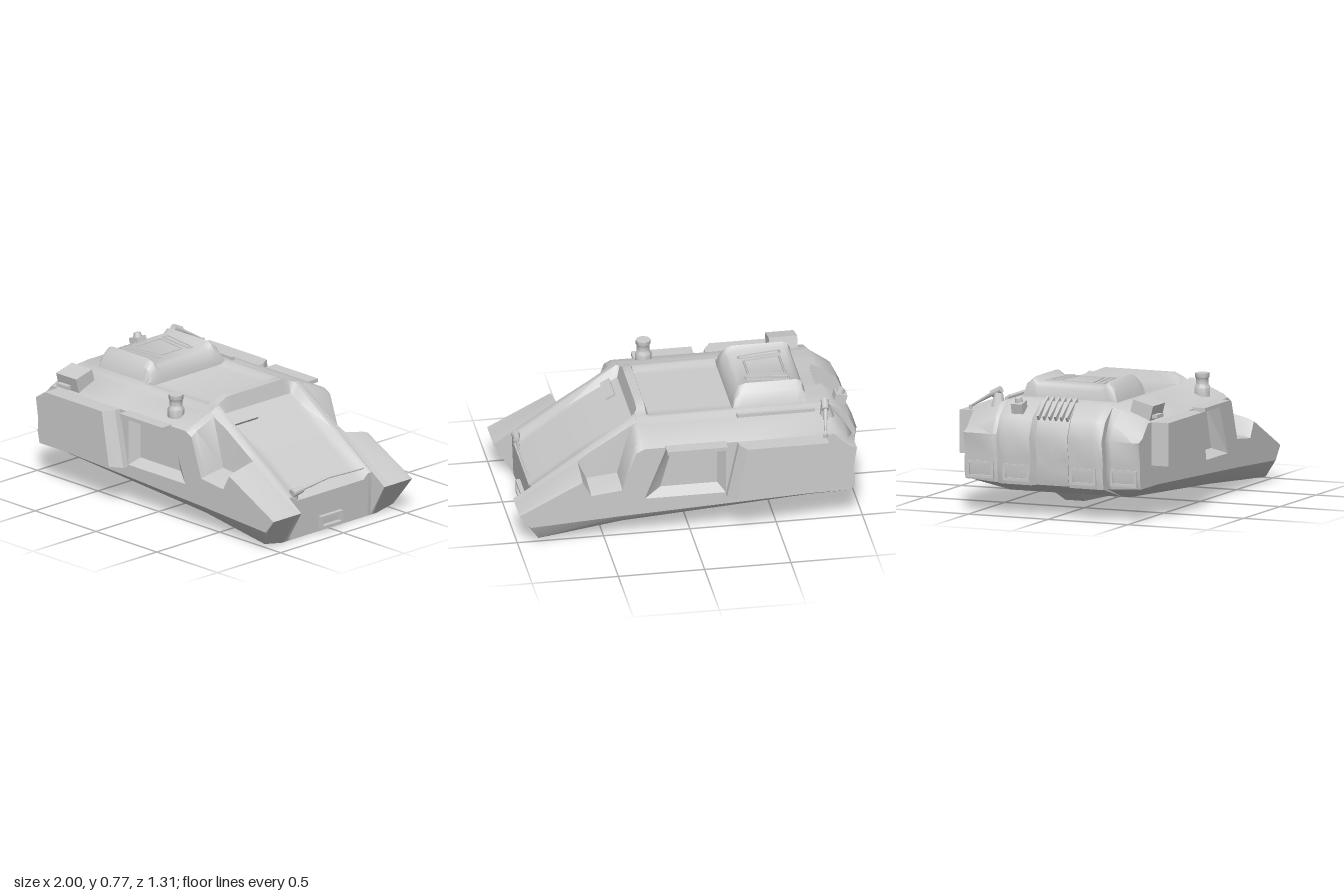
import * as THREE from 'three';
import { toCreasedNormals } from 'three/addons/utils/BufferGeometryUtils.js';

const mat = new THREE.MeshStandardMaterial({ color: 0xcccccc, side: THREE.DoubleSide });
const V = (x, y, z) => new THREE.Vector3(x, y, z);

// Skin between stations { z, pts } whose pts run counter-clockwise seen from +z
function loft(stations, crease = 0.55) {
  const pos = [], idx = [], n = stations[0].pts.length;
  for (const s of stations) for (const p of s.pts) pos.push(p[0], p[1], s.z);
  for (let s = 0; s < stations.length - 1; s++) for (let i = 0; i < n; i++) {
    const j = (i + 1) % n, a = s * n + i, b = s * n + j;
    idx.push(a, b, b + n, a, b + n, a + n);
  }
  const g = new THREE.BufferGeometry();
  g.setAttribute('position', new THREE.Float32BufferAttribute(pos, 3));
  g.setIndex(idx);
  return toCreasedNormals(g, crease);
}

// Copy of a geometry reflected to the other side, with its corner order restored
function reflect(geo) {
  const g = geo.index ? geo.toNonIndexed() : geo.clone();
  const p = g.attributes.position, a = V(), b = V();
  g.scale(1, 1, -1);
  for (let i = 0; i < p.count; i += 3) {
    a.fromBufferAttribute(p, i + 1); b.fromBufferAttribute(p, i + 2);
    p.setXYZ(i + 1, b.x, b.y, b.z); p.setXYZ(i + 2, a.x, a.y, a.z);
  }
  return toCreasedNormals(g, 0.5);
}

// Side profile of the hull at one distance from the centre line;
// notch is the floor height of the fender cut-out, bulge swells the windscreen
function hullProfile({ roof, arch, slope, tip, floor, rear, notch, bulge = 0, deck }) {
  const on = x => THREE.MathUtils.mapLinear(x, 0.29, tip[0], slope, tip[1]);
  const cut = notch
    ? [[0.63, on(0.63)], [0.58, notch - 0.01], [0.4, notch + 0.01], [0.32, on(0.32)]]
    : [0.63, 0.58, 0.4, 0.32].map(x => [x, on(x) + bulge * Math.sin((x - 0.29) * 5)]);
  return [
    [-0.96 + rear, floor[0]], [-0.7, floor[1]], [0.4, floor[2]], [floor[4] ?? 0.88, floor[3]],
    tip, ...cut, [0.29, slope], [0.27, arch], [0.22, arch], [0.2, roof], [-0.29, roof],
    [-0.32, deck], [-0.83, deck], [-0.94 + rear, deck - 0.08], [-0.99 + rear, 0.47],
    [-0.97 + rear, 0.34], [-0.975 + rear, 0.27],
  ];
}

export function createModel() {
  const model = new THREE.Group();
  const add = (name, geo, x = 0, y = 0, z = 0, rx = 0, ry = 0, rz = 0) => {
    const m = new THREE.Mesh(geo, mat);
    m.name = name; m.position.set(x, y, z); m.rotation.set(rx, ry, rz);
    model.add(m);
    return m;
  };
  const both = (name, geo) => { add(name + 'Left', geo); add(name + 'Right', reflect(geo)); };
  const box = (w, h, d) => new THREE.BoxGeometry(w, h, d);
  const rod = (name, a, b, r0, r1 = r0, sides = 8) => {
    const d = b.clone().sub(a), m = add(name, new THREE.CylinderGeometry(r1, r0, d.length(), sides));
    m.position.copy(a).addScaledVector(d, 0.5);
    m.quaternion.setFromUnitVectors(V(0, 1, 0), d.normalize());
  };

  // Hull: half the stations, mirrored to the other side
  const low = [0.19, 0.115, 0.045, 0.005];
  const mid = { roof: 0.64, arch: 0.7, slope: 0.61, tip: [0.89, 0.235], floor: low, deck: 0.66, bulge: 0.02 };
  const rail = { roof: 0.655, arch: 0.66, slope: 0.67, tip: [0.89, 0.265], floor: low, deck: 0.655 };
  const inner = { ...rail, roof: 0.635, arch: 0.64, slope: 0.645, tip: [0.995, 0.2], deck: 0.64, rear: 0.03 };
  const outer = { ...inner, roof: 0.59, arch: 0.59, slope: 0.59, floor: [0.2, 0.175, 0.1, 0.03], deck: 0.59 };
  const side = { ...inner, roof: 0.57, arch: 0.57, slope: 0.56, floor: [0.2, 0.2, 0.15, 0.12, 0.93], deck: 0.57 };
  const half = [
    [0, { ...mid, rear: 0.03 }], [0.1, { ...mid, rear: 0.03 }], [0.12, { ...mid, rear: -0.01 }],
    [0.22, { ...mid, rear: -0.01 }], [0.265, { ...mid, rear: -0.01, arch: 0.68 }], [0.3, { ...rail, rear: -0.01 }],
    [0.33, { ...rail, rear: 0 }], [0.33, { ...rail, tip: [0.995, 0.2], rear: 0.05 }], [0.36, inner],
    [0.375, { ...inner, notch: 0.33 }], [0.51, { ...outer, notch: 0.315 }], [0.55, { ...side, notch: 0.305 }],
  ].map(([z, o]) => ({ z, pts: hullProfile(o) }));
  const mirrored = half.slice(1).reverse().map(s => ({ z: -s.z, pts: s.pts }));
  add('hull', loft([...mirrored, ...half], 0.8));

  // Flat flanks with a sunken window bay
  const bay = [[-0.2, 0.25], [0.27, 0.25], [0.15, 0.55], [-0.2, 0.55]];
  const bayFloor = [[-0.16, 0.29], [0.17, 0.29], [0.1, 0.54], [-0.16, 0.54]];
  const toV2 = l => l.map(p => new THREE.Vector2(p[0], p[1]));
  const flank = new THREE.Shape(toV2(half.at(-1).pts));
  flank.holes.push(new THREE.Path(toV2(bay)));
  both('flank', new THREE.ShapeGeometry(flank).translate(0, 0, 0.55));
  both('windowBay', loft([{ z: 0.55, pts: bay }, { z: 0.49, pts: bayFloor }], 0.1));
  both('windowPane', new THREE.ShapeGeometry(new THREE.Shape(toV2(bayFloor))).translate(0, 0, 0.49));
  both('windowAwning', box(0.35, 0.022, 0.08).translate(-0.025, 0.566, 0.58));

  // Side armour pods whose front edge is chamfered back toward the bay
  const pod = [[-0.78, 0.32], [-0.25, 0.25], [-0.31, 0.57], [-0.78, 0.57]];
  const podBase = [[-0.78, 0.32], [-0.2, 0.24], [-0.27, 0.57], [-0.78, 0.57]];
  const podFace = new THREE.ShapeGeometry(new THREE.Shape(toV2(pod))).translate(0, 0, 0.655);
  both('sidePodShell', loft([{ z: 0.55, pts: podBase }, { z: 0.59, pts: podBase }, { z: 0.655, pts: pod }], 0.3));
  both('sidePodFace', podFace);

  // Narrow keel under the belly
  const keel = [[-0.63, 0.065], [0.39, 0.018], [0.39, 0.07], [-0.72, 0.13]];
  const keelTop = [[-0.66, 0.12], [0.39, 0.05], [0.39, 0.07], [-0.72, 0.13]];
  add('keel', loft([{ z: -0.1, pts: keelTop }, { z: -0.06, pts: keel }, { z: 0.06, pts: keel }, { z: 0.1, pts: keelTop }], 0.3));

  // Raised roof hatch with thick side shoulders
  const hatchAt = (z, h) => ({
    z, pts: [[-0.71, 0.62], [-0.28, 0.62], [-0.285, 0.66], [-0.3, 0.66 + h * 0.5], [-0.33, 0.66 + h * 0.9],
      [-0.37, 0.66 + h], [-0.66, 0.66 + h], [-0.69, 0.66 + h * 0.9], [-0.705, 0.66 + h * 0.6]],
  });
  const hatchSteps = [[-0.3, -0.02], [-0.275, 0.075], [-0.23, 0.113], [-0.2, 0.088]];
  add('roofHatch', loft([...hatchSteps, ...hatchSteps.map(([z, h]) => [-z, h]).reverse()].map(a => hatchAt(...a)), 0.8));

  // Hatch window frames: a trapezoid in the middle and a slit to each side
  const frame = (name, c) => c.forEach((p, i) => {
    const q = c[(i + 1) % c.length];
    rod(name, V(p[0], 0.747, p[1]), V(q[0], 0.747, q[1]), 0.008, 0.008, 4);
  });
  frame('hatchWindowFrame', [[-0.62, -0.11], [-0.41, -0.08], [-0.41, 0.08], [-0.62, 0.11]]);
  for (const s of [1, -1]) frame('hatchSlitFrame', [[-0.63, s * 0.18], [-0.39, s * 0.14], [-0.39, s * 0.11], [-0.63, s * 0.14]]);

  // Cooling ribs over the stern
  for (let i = 0; i < 6; i++) add('coolingRib', box(0.17, 0.03, 0.012), -0.87, 0.625, -0.09 + i * 0.036, 0, 0, 0.6);
  // Exhaust frames on the stern
  for (const s of [1, -1]) for (const z of [0.21, 0.45]) {
    const x = z < 0.3 ? -0.975 : -0.94;
    for (const y of [0.22, 0.3]) add('exhaustFrame', box(0.025, 0.016, 0.16), x, y, s * z);
    for (const dz of [-0.075, 0.075]) add('exhaustFrame', box(0.025, 0.09, 0.016), x, 0.26, s * z + dz);
  }
  // Stern sensor
  add('sternSensor', box(0.07, 0.06, 0.07), -0.915, 0.63, -0.22, 0, 0, 0.25);
  add('sternSensorLens', new THREE.CylinderGeometry(0.02, 0.028, 0.04, 8), -0.92, 0.665, -0.22, 0, 0, 0.25);

  // Periscope on the left deck
  const scope = [[0.048, 0], [0.048, 0.05], [0.037, 0.07], [0.037, 0.1], [0.043, 0.11], [0.043, 0.135], [0.03, 0.137], [0, 0.13]];
  add('periscope', toCreasedNormals(new THREE.LatheGeometry(toV2(scope), 8), 0.8), 0.105, 0.597, 0.465);

  // Equipment box on the left rear deck
  add('equipmentBox', box(0.165, 0.1, 0.13), -0.7, 0.63, 0.485, 0.25);
  add('equipmentLatch', box(0.09, 0.02, 0.03), -0.72, 0.6, 0.56);

  // Mast and rail on the right rear deck
  rod('mastBase', V(-0.81, 0.6, -0.4), V(-0.8, 0.685, -0.4), 0.045, 0.025);
  rod('mastHead', V(-0.8, 0.705, -0.385), V(-0.795, 0.675, -0.445), 0.022);
  rod('mastRod', V(-0.8, 0.69, -0.42), V(-0.77, 0.59, -0.595), 0.014, 0.006);
  rod('mastTip', V(-0.77, 0.6, -0.59), V(-0.77, 0.575, -0.59), 0.012);
  add('deckRail', box(0.45, 0.022, 0.02), -0.52, 0.645, -0.375);

  // Bow: wiper arm, windscreen slit and tow socket
  const wiper = [V(0.875, 0.28, 0.29), V(0.88, 0.29, 0.21), V(0.9, 0.32, 0.03), V(0.895, 0.307, -0.26)];
  [[0.026, 0.018], [0.01, 0.006], [0.006, 0.005]].forEach(([a, b], i) => rod('wiperArm', wiper[i], wiper[i + 1], a, b));
  rod('wiperPivot', V(0.865, 0.22, 0.265), V(0.875, 0.285, 0.265), 0.022, 0.018);
  add('windscreenSlit', box(0.06, 0.015, 0.2), 0.36, 0.582, 0.185, 0, 0, -0.5);
  for (const y of [0.032, 0.092]) add('towSocketFrame', box(0.04, 0.014, 0.17), 0.89, y, 0);
  for (const z of [-0.08, 0.08]) add('towSocketFrame', box(0.04, 0.07, 0.014), 0.89, 0.062, z);
  return model;
}
